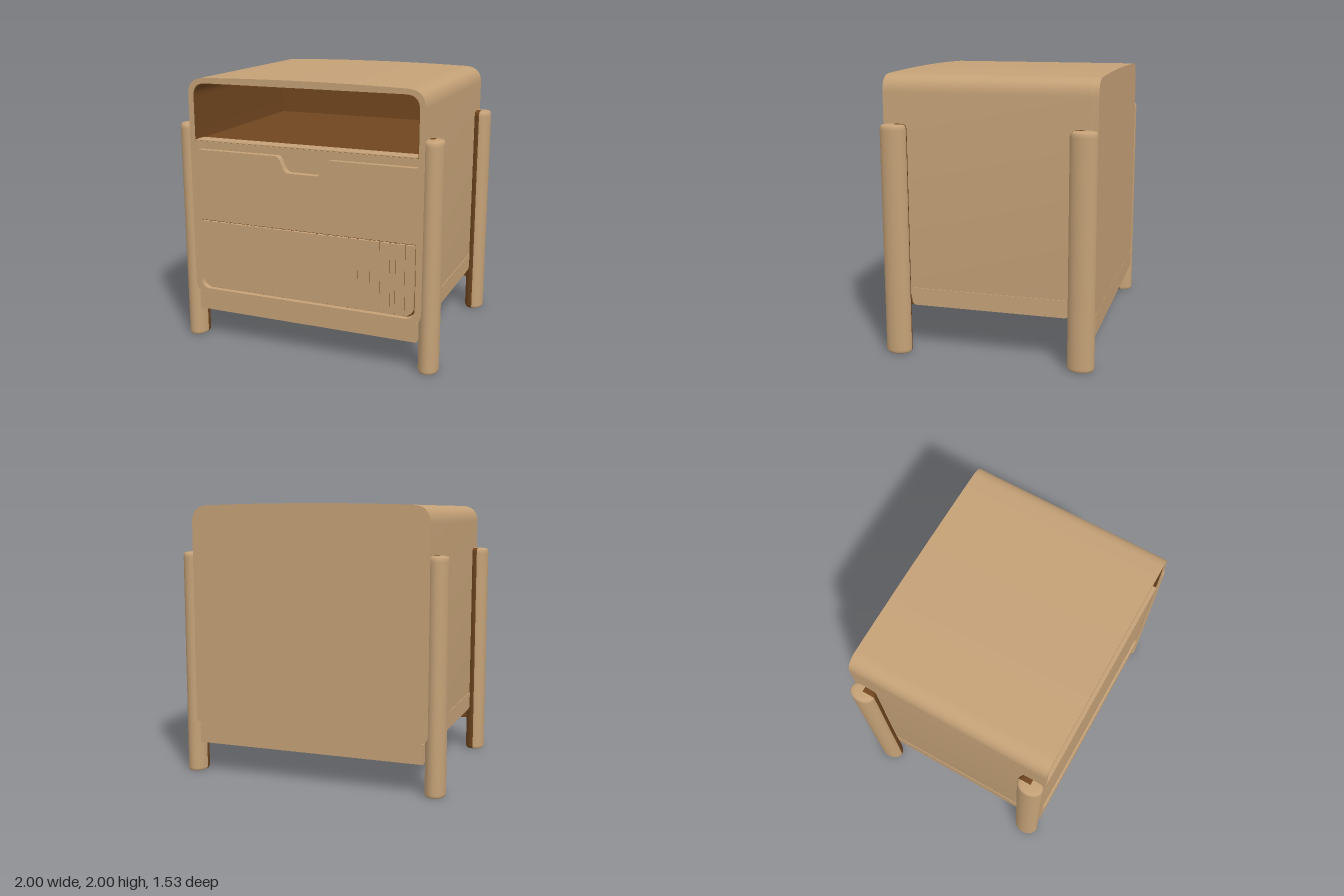
import * as THREE from 'three';
import { toCreasedNormals } from 'three/addons/utils/BufferGeometryUtils.js';

const material = (name, color) => {
  const m = new THREE.MeshStandardMaterial({ color, side: THREE.DoubleSide });
  m.name = name;
  return m;
};

// Cabinet outline: gently arched top, round upper corners, small lower corners
function outline() {
  const s = new THREE.Shape();
  s.moveTo(-0.84, 0.37);
  s.lineTo(0.84, 0.37);
  s.quadraticCurveTo(0.89, 0.38, 0.89, 0.44);
  s.lineTo(0.89, 1.86);
  s.bezierCurveTo(0.89, 1.94, 0.85, 1.982, 0.77, 1.987);
  s.quadraticCurveTo(0, 2.013, -0.77, 1.987);
  s.bezierCurveTo(-0.85, 1.982, -0.89, 1.94, -0.89, 1.86);
  s.lineTo(-0.89, 0.44);
  s.quadraticCurveTo(-0.89, 0.38, -0.84, 0.37);
  return s;
}

// Rectangle with separate radii for its lower and upper corners
function opening(w, y0, y1, rLow, rTop, Type = THREE.Path) {
  const p = new Type();
  p.moveTo(-w + rLow, y0);
  p.lineTo(w - rLow, y0);
  if (rLow) p.quadraticCurveTo(w, y0, w, y0 + rLow);
  p.lineTo(w, y1 - rTop);
  if (rTop) p.quadraticCurveTo(w, y1, w - rTop, y1);
  p.lineTo(-w + rTop, y1);
  if (rTop) p.quadraticCurveTo(-w, y1, -w, y1 - rTop);
  p.lineTo(-w, y0 + rLow);
  if (rLow) p.quadraticCurveTo(-w, y0, -w + rLow, y0);
  return p;
}

function extrude(shape, z0, z1) {
  const g = new THREE.ExtrudeGeometry(shape, { depth: z1 - z0, bevelEnabled: false, curveSegments: 12 });
  g.translate(0, 0, z0);
  return toCreasedNormals(g, 0.6);
}

export function createModel() {
  const wood = material('oak', 0xc4a177);
  const dark = material('dark brown', 0x70461f);
  const root = new THREE.Group();
  root.name = 'nightstand';

  const add = (name, geometry, mat, parent = root) => {
    const m = new THREE.Mesh(geometry, mat);
    m.name = name;
    parent.add(m);
    return m;
  };
  const box = (name, x0, x1, y0, y1, z0, z1, mat, parent) => {
    const m = add(name, new THREE.BoxGeometry(x1 - x0, y1 - y0, z1 - z0), mat, parent);
    m.position.set((x0 + x1) / 2, (y0 + y1) / 2, (z0 + z1) / 2);
    return m;
  };

  // Cabinet shell with the shelf and drawer openings
  const shell = outline();
  shell.holes.push(opening(0.85, 1.53, 1.95, 0, 0.1), opening(0.845, 0.395, 1.475, 0.08, 0));
  add('cabinetShell', extrude(shell, -0.7, 0.755), wood);
  add('backPanel', extrude(outline(), -0.755, -0.7), wood);

  // Dark lining of the open shelf, with a lighter front edge on its floor
  const lining = opening(0.85, 1.53, 1.95, 0, 0.1, THREE.Shape);
  lining.holes.push(opening(0.845, 1.535, 1.945, 0, 0.1));
  add('shelfLining', extrude(lining, -0.7, 0.75), dark);
  box('shelfBack', -0.85, 0.85, 1.53, 1.95, -0.7, -0.694, dark);
  box('shelfFrontEdge', -0.845, 0.845, 1.532, 1.538, 0.64, 0.754, wood);

  // Drawer front with a cut-out grip
  const drawer = new THREE.Shape();
  drawer.moveTo(-0.835, 0.935);
  drawer.lineTo(0.835, 0.935);
  drawer.lineTo(0.835, 1.463);
  drawer.lineTo(0.21, 1.463);
  drawer.bezierCurveTo(0.15, 1.455, 0.17, 1.345, 0.1, 1.345);
  drawer.lineTo(-0.1, 1.345);
  drawer.bezierCurveTo(-0.17, 1.345, -0.15, 1.455, -0.21, 1.463);
  drawer.lineTo(-0.835, 1.463);
  add('drawerFront', extrude(drawer, 0.69, 0.745), wood);
  box('gripRecess', -0.24, 0.24, 1.3, 1.475, 0.612, 0.618, wood);
  box('drawerBacking', -0.85, 0.85, 0.395, 1.48, 0.6, 0.61, dark);

  // Irregular vertical slats, trimmed to the rounded lower corners
  const slats = new THREE.Group();
  slats.name = 'slats';
  root.add(slats);
  add('grooveBacking', extrude(opening(0.84, 0.397, 0.925, 0.08, 0, THREE.Shape), 0.7, 0.715), dark, slats);
  const cuts = [-0.835, -0.76, -0.69, -0.6, -0.46, -0.4, -0.335, -0.255, -0.17, -0.1, 0.1,
    0.185, 0.245, 0.34, 0.41, 0.5, 0.575, 0.65, 0.69, 0.76, 0.835];
  const bottom = (x) => {
    const d = Math.max(0, Math.abs(x) - 0.75);
    return 0.482 - Math.sqrt(Math.max(0, 0.0074 - d * d)) + 0.009;
  };
  for (let i = 0; i < cuts.length - 1; i++) {
    const a = cuts[i] + 0.005, b = cuts[i + 1] - 0.005;
    const s = new THREE.Shape();
    s.moveTo(a, 0.922);
    for (let k = 0; k <= 6; k++) {
      const x = a + (b - a) * k / 6;
      s.lineTo(x, bottom(x));
    }
    s.lineTo(b, 0.922);
    add('slat', extrude(s, 0.705, 0.74), wood, slats);
  }

  // Underside, aprons front and back, rails along the sides
  box('undersidePanel', -0.84, 0.84, 0.364, 0.37, -0.75, 0.75, dark);
  for (const s of [1, -1]) {
    const mats = [wood, wood, wood, dark, s > 0 ? wood : dark, s > 0 ? dark : wood];
    const name = s > 0 ? 'frontApron' : 'backApron';
    box(name, -0.86, 0.86, 0.23, 0.372, s > 0 ? 0.7 : -0.756, s > 0 ? 0.756 : -0.7, mats);

    const rail = new THREE.Shape();
    rail.moveTo(-0.575, 0.472);
    rail.lineTo(-0.575, 0.385);
    rail.quadraticCurveTo(-0.575, 0.345, -0.535, 0.345);
    rail.lineTo(0.535, 0.345);
    rail.quadraticCurveTo(0.575, 0.345, 0.575, 0.385);
    rail.lineTo(0.575, 0.472);
    const r = add(s > 0 ? 'leftRail' : 'rightRail', extrude(rail, -0.025, 0.025), wood);
    r.rotation.y = Math.PI / 2;
    r.position.x = s * 0.87;
  }

  // Oval legs with softened ends; the quarter facing into the cabinet is dark
  const profile = [[0, 0], [0.92, 0], [0.98, 0.008], [1, 0.022], [1, 1.61], [0.97, 1.632], [0.88, 1.645], [0.6, 1.65], [0, 1.65]]
    .map(([x, y]) => new THREE.Vector2(x, y));
  for (const sx of [1, -1]) for (const sz of [1, -1]) {
    const leg = new THREE.Group();
    leg.name = (sz > 0 ? 'front' : 'back') + (sx > 0 ? 'Left' : 'Right') + 'Leg';
    leg.position.set(sx * 0.9275, 0, sz * 0.668);
    leg.scale.set(0.0725, 1, 0.095);
    root.add(leg);
    const quarter = sx > 0 ? (sz > 0 ? 2 : 3) : (sz > 0 ? 1 : 0);
    const start = quarter * Math.PI / 2;
    add('legInnerFace', new THREE.LatheGeometry(profile, 10, start, Math.PI / 2), dark, leg);
    add('legOuterFace', new THREE.LatheGeometry(profile, 30, start + Math.PI / 2, Math.PI * 1.5), wood, leg);
  }
  return root;
}
